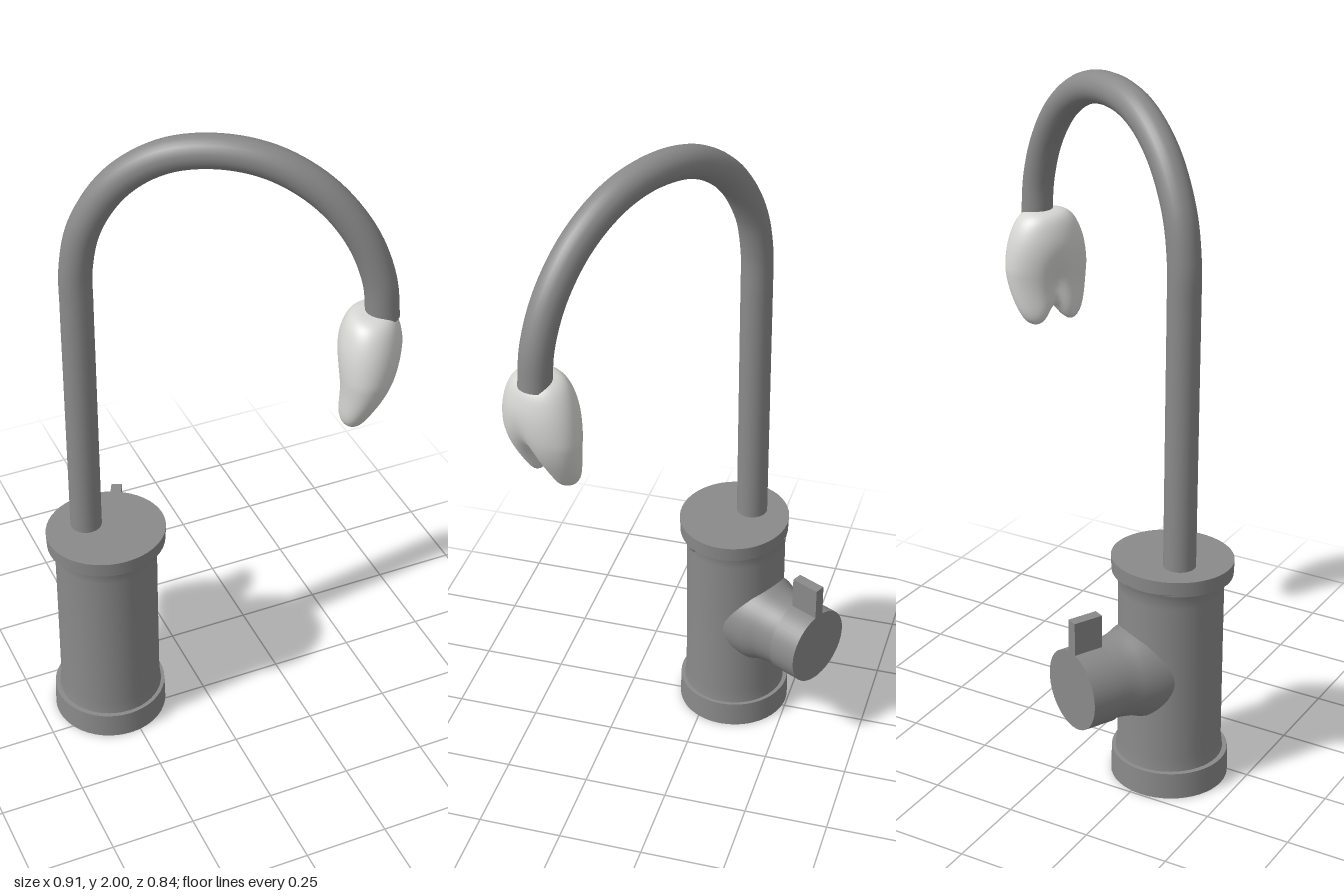
import * as THREE from 'three';

const metal = new THREE.MeshStandardMaterial({ color: 0x8a8a8a });
metal.name = 'grey metal';
const enamel = new THREE.MeshStandardMaterial({ color: 0xd6d6d3 });
enamel.name = 'off-white enamel';

function add(parent, name, geometry, material, x = 0, y = 0, z = 0) {
  const mesh = new THREE.Mesh(geometry, material);
  mesh.name = name;
  mesh.position.set(x, y, z);
  parent.add(mesh);
  return mesh;
}

const lathe = (pts) => new THREE.LatheGeometry(pts.map(([r, y]) => new THREE.Vector2(r, y)), 48);

// Tooth-shaped nozzle: rounded block that tapers down and splits into two roots
function toothGeometry() {
  const cols = 56, rows = 44;
  const g = new THREE.SphereGeometry(1, cols, rows);
  const p = g.attributes.position;
  for (let i = 0; i < p.count; i++) {
    const x = p.getX(i), y = p.getY(i), z = p.getZ(i);
    const r = Math.hypot(x, z);
    const k = r > 1e-5 ? Math.pow(r, 0.45) / r : 0;
    const low = THREE.MathUtils.smoothstep(-y, -0.6, 1);
    const notch = Math.exp(-Math.pow(z * k / 0.28, 2)) * low;
    const u = x * k * (0.092 - 0.03 * low) * (1 - 0.3 * notch) + 0.012 - 0.035 * low ** 3;
    const v = z * k * (0.134 - 0.014 * low - 0.02 * Math.max(0, y));
    p.setXYZ(i, u, y * 0.172 + 0.06 * notch * low, v);
  }
  g.computeVertexNormals();
  // Keep the shading continuous across the sphere seam
  const n = g.attributes.normal;
  for (let j = 0; j <= rows; j++) {
    const a = j * (cols + 1), b = a + cols;
    const s = new THREE.Vector3().fromBufferAttribute(n, a)
      .add(new THREE.Vector3().fromBufferAttribute(n, b)).normalize();
    n.setXYZ(a, s.x, s.y, s.z);
    n.setXYZ(b, s.x, s.y, s.z);
  }
  return g;
}

export function createModel() {
  const model = new THREE.Group();
  model.name = 'faucet';

  // Upright body with base ring and cap
  const body = new THREE.Group();
  body.name = 'body';
  body.position.set(-0.28, 0, -0.075);
  model.add(body);
  add(body, 'baseRing', new THREE.CylinderGeometry(0.168, 0.17, 0.08, 48), metal, -0.002, 0.04, 0);
  add(body, 'barrel', lathe([[0.156, 0.075], [0.151, 0.12], [0.15, 0.4], [0.15, 0.6], [0.153, 0.63], [0.16, 0.65]]), metal);
  const cap = add(body, 'cap', new THREE.CylinderGeometry(0.177, 0.175, 0.045, 48), metal, 0, 0.6675, 0.006);
  cap.scale.z = 0.93;
  add(body, 'capNub', new THREE.SphereGeometry(0.022, 16, 12), metal, 0.1, 0.63, 0.1);

  // Side valve with end knob and lever
  const valve = new THREE.Group();
  valve.name = 'sideValve';
  valve.position.set(-0.28, 0.365, -0.071);
  valve.rotation.y = Math.atan2(0.447, -0.894);
  model.add(valve);
  const neck = add(valve, 'valveNeck', lathe([[0.142, 0.07], [0.138, 0.135], [0.124, 0.17], [0.117, 0.21], [0.115, 0.26]]), metal);
  neck.scale.x = 0.93;
  const knob = add(valve, 'valveKnob', new THREE.CylinderGeometry(0.117, 0.117, 0.09, 48), metal, 0, 0, 0.292);
  neck.rotation.x = knob.rotation.x = Math.PI / 2;
  add(valve, 'lever', new THREE.BoxGeometry(0.032, 0.14, 0.09), metal, 0, 0.145, 0.292);

  // Gooseneck pipe bending in one slanted vertical plane
  const path = [
    [-0.325, 0.67], [-0.325, 0.95], [-0.325, 1.25], [-0.325, 1.45], [-0.323, 1.58],
    [-0.298, 1.71], [-0.225, 1.845], [-0.118, 1.93], [0.005, 1.955], [0.13, 1.93],
    [0.245, 1.85], [0.33, 1.73], [0.375, 1.6], [0.387, 1.485],
  ].map(([x, y]) => new THREE.Vector3(x, y, -0.112 + (x + 0.325) * 0.58));
  add(model, 'gooseneckPipe', new THREE.TubeGeometry(new THREE.CatmullRomCurve3(path), 100, 0.046, 24), metal);

  const tooth = add(model, 'toothNozzle', toothGeometry(), enamel, 0.345, 1.337, 0.291);
  tooth.rotation.y = -Math.PI / 6;

  return model;
}
